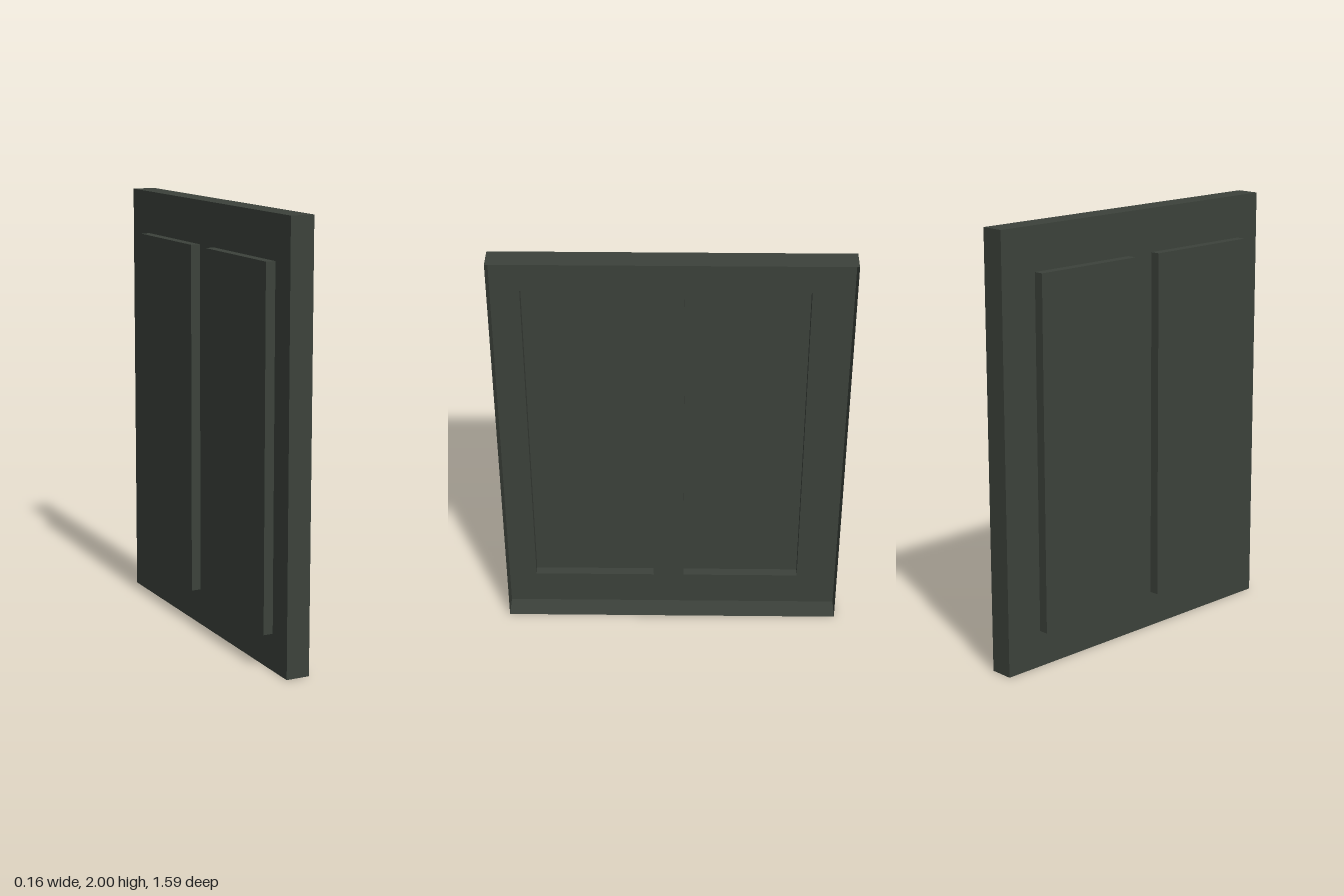
import * as THREE from 'three';

const HEIGHT = 2, HALF_WIDTH = 0.795;
const BACK = -0.08, PLATE = -0.035, FRONT = 0.075; // depth levels along x
const PANEL_Y = [0.17, 1.8];
const PANELS = [
  { name: 'leftPanel', z: [0.09, 0.665] },
  { name: 'rightPanel', z: [-0.61, -0.055] },
];

// Thin box without its +x face, or without both x faces
function openBox([x0, x1], [y0, y1], [z0, z1], openBothEnds) {
  const geometry = new THREE.BoxGeometry(x1 - x0, y1 - y0, z1 - z0);
  geometry.setIndex(Array.from(geometry.index.array).slice(openBothEnds ? 12 : 6));
  geometry.clearGroups();
  return geometry.translate((x0 + x1) / 2, (y0 + y1) / 2, (z0 + z1) / 2);
}

function rectangle(path, [z0, z1], [y0, y1]) {
  return path.moveTo(z0, y0).lineTo(z1, y0).lineTo(z1, y1).lineTo(z0, y1).closePath();
}

export function createModel() {
  const group = new THREE.Group();
  group.name = 'panelDoor';
  const paint = new THREE.MeshStandardMaterial({ color: 0x3c423b, side: THREE.DoubleSide });
  paint.name = 'dark green grey';

  const add = (name, geometry) => {
    const mesh = new THREE.Mesh(geometry, paint);
    mesh.name = name;
    group.add(mesh);
  };

  // Rim around the door, open on the +x side
  add('rim', openBox([PLATE, FRONT], [0, HEIGHT], [-HALF_WIDTH, HALF_WIDTH], true));

  // Face plate with an opening for each panel
  const face = new THREE.Shape();
  rectangle(face, [-HALF_WIDTH, HALF_WIDTH], [0, HEIGHT]);
  for (const { z } of PANELS) {
    const hole = new THREE.Path();
    rectangle(hole, z, PANEL_Y);
    face.holes.push(hole);
  }
  add('facePlate', new THREE.ShapeGeometry(face).rotateY(-Math.PI / 2).translate(PLATE, 0, 0));

  // Raised panels, hollow from inside
  for (const { name, z } of PANELS) add(name, openBox([BACK, PLATE], PANEL_Y, z, false));

  return group;
}
